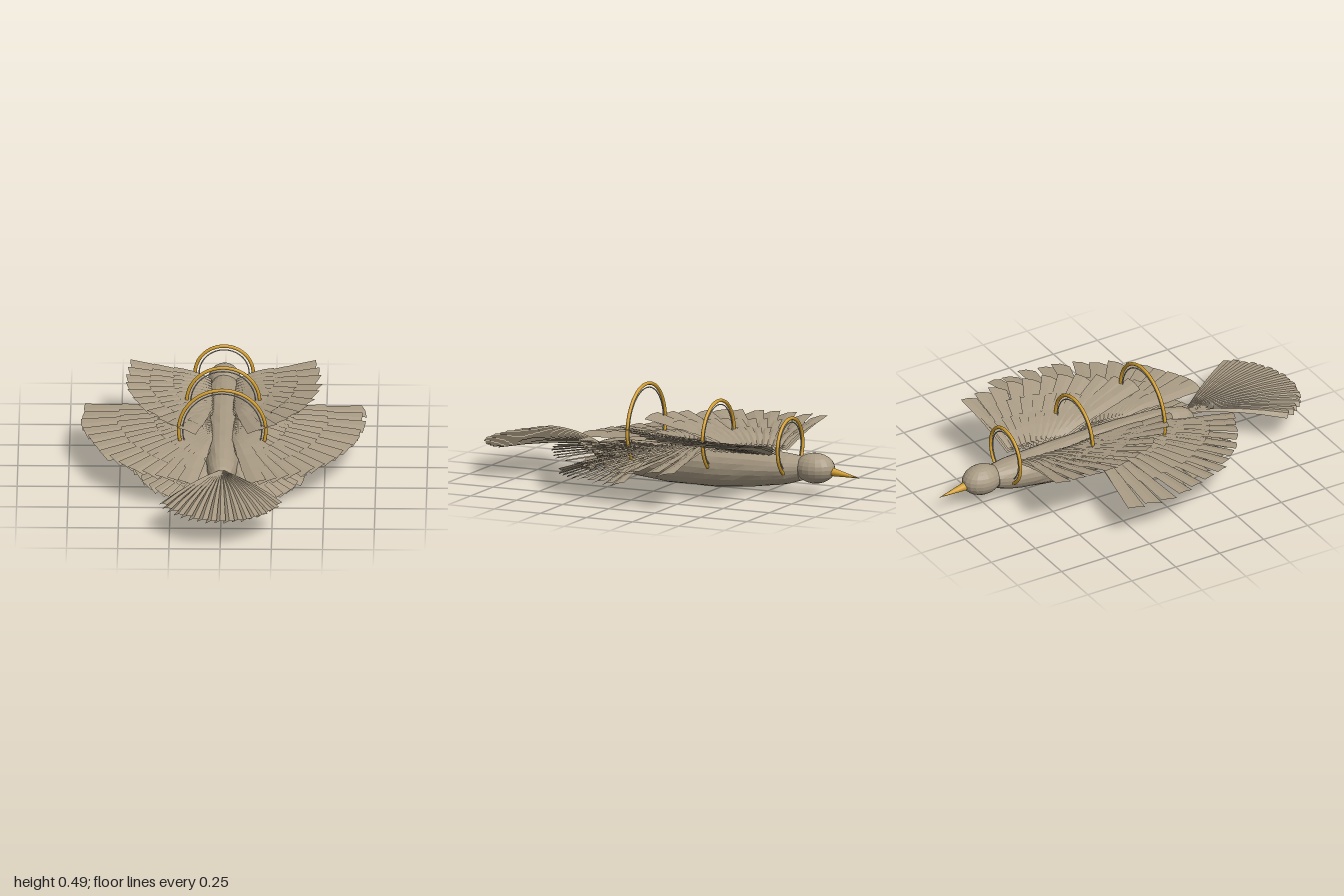
import * as THREE from 'three';
import { mergeGeometries } from 'three/addons/utils/BufferGeometryUtils.js';

const plumage = new THREE.MeshStandardMaterial({ color: 0xa99b84, flatShading: true, side: THREE.DoubleSide });
plumage.name = 'taupe plumage';
const gold = new THREE.MeshStandardMaterial({ color: 0xd4a030 });
gold.name = 'gold';
const silver = new THREE.MeshStandardMaterial({ color: 0xb2ada4 });
silver.name = 'grey metal';

const lerp = THREE.MathUtils.lerp;
const rad = THREE.MathUtils.degToRad;
let seed = 7;
const rand = () => (seed = (seed * 16807) % 2147483647) / 2147483647 - 0.5;

function add(parent, geometry, material, name) {
  const mesh = new THREE.Mesh(geometry, material);
  mesh.name = name;
  parent.add(mesh);
  return mesh;
}

function gridGeometry(pos, rows, cols) {
  const index = [];
  for (let i = 0; i < rows - 1; i++) for (let j = 0; j < cols - 1; j++) {
    const a = i * cols + j, b = a + cols;
    index.push(a, a + 1, b, a + 1, b + 1, b);
  }
  const g = new THREE.BufferGeometry();
  g.setAttribute('position', new THREE.Float32BufferAttribute(pos, 3));
  g.setIndex(index);
  g.computeVertexNormals();
  return g;
}

// Closed skin through elliptical sections [z, y, rx, ry], slightly uneven like packed plumage
function loft(sections, sides) {
  const pos = [];
  for (const [z, y, rx, ry] of sections) {
    const bumps = Array.from({ length: sides }, () => 1 + rand() * 0.04);
    for (let j = 0; j <= sides; j++) {
      const a = (j / sides) * Math.PI * 2, k = bumps[j % sides];
      pos.push(rx * k * Math.cos(a), y + ry * k * Math.sin(a), z);
    }
  }
  return gridGeometry(pos, sections.length, sides + 1);
}

// One blunt feather with a raised shaft; angle 0 points to +x, 90 to +z
function feather({ x, y, z, angle, length, width, base, rise, arch, tilt, ridge }) {
  const c = Math.cos(rad(angle)), s = Math.sin(rad(angle));
  const pos = [], skew = rand() * 0.014;
  for (const t of [0, 0.25, 0.5, 0.75, 1]) {
    const half = width * (base + (1 - base) * t);
    const lift = y + rise * t + arch * Math.sin(Math.PI * t);
    for (const k of [-1, 0, 1]) {
      const d = length * t + (t === 1 ? skew * k - (k ? 0.004 : 0) : 0);
      pos.push(x + c * d - s * half * k, lift + (k ? 0 : ridge) - k * tilt * (0.3 + 0.7 * t), z + s * d + c * half * k);
    }
  }
  return gridGeometry(pos, 5, 3);
}

// A wing: flight feathers overlaid by shorter rows of coverts
function buildWing(w) {
  const wing = new THREE.Group();
  const rows = [['flightFeathers', 1, 0], ['middleCoverts', 0.72, 0.01], ['smallCoverts', 0.45, 0.02]];
  rows.forEach(([name, scale, lift], r) => {
    const list = [], n = w.count + r;
    for (let i = 0; i < n; i++) {
      const t = i / (n - 1);
      const length = (lerp(w.len[0], w.len[1], t) + w.bulge * Math.sin(Math.PI * t)) * scale + rand() * 0.02;
      list.push(feather({
        x: w.x, z: lerp(w.z[0], w.z[1], t), y: w.y + lift - i * 0.001,
        angle: lerp(w.angle[0], w.angle[1], t) + rand() * 2,
        length, width: w.width * (0.5 + 0.5 * scale), base: 0.45,
        rise: w.rise * scale, arch: w.arch, tilt: 0.011, ridge: 0.006,
      }));
    }
    add(wing, mergeGeometries(list), plumage, name);
  });
  return wing;
}

export function createModel() {
  const model = new THREE.Group();
  model.name = 'threeWingPairBird';

  // Body
  add(model, loft([
    [-0.70, 0.130, 0.001, 0.001], [-0.69, 0.130, 0.064, 0.058], [-0.62, 0.124, 0.083, 0.074],
    [-0.56, 0.12, 0.088, 0.081], [-0.5, 0.117, 0.092, 0.088], [-0.42, 0.114, 0.095, 0.095],
    [-0.35, 0.111, 0.097, 0.1], [-0.27, 0.109, 0.099, 0.104], [-0.2, 0.108, 0.1, 0.106],
    [-0.12, 0.108, 0.1, 0.106], [-0.05, 0.108, 0.099, 0.106], [0.03, 0.11, 0.097, 0.105],
    [0.1, 0.112, 0.093, 0.102], [0.17, 0.115, 0.088, 0.097], [0.24, 0.118, 0.082, 0.09],
    [0.34, 0.124, 0.07, 0.07], [0.4, 0.127, 0.055, 0.05], [0.43, 0.13, 0.034, 0.03], [0.443, 0.13, 0.001, 0.001],
  ], 22), plumage, 'body');

  // Head and beak
  const head = add(model, new THREE.SphereGeometry(1, 18, 12), plumage, 'head');
  head.scale.set(0.08, 0.075, 0.103);
  head.position.set(0, 0.137, -0.756);
  const beak = add(model, new THREE.ConeGeometry(0.025, 0.18, 16), gold, 'beak');
  beak.position.set(0, 0.118, -0.911);
  beak.rotation.x = -Math.PI / 2 - 0.13;

  // Three wing pairs: raised front, level middle, drooping rear
  const wings = {
    frontWing: { x: 0.06, y: 0.195, z: [-0.555, -0.25], angle: [0, 77], len: [0.4, 0.48], bulge: 0.015,
      width: 0.046, rise: 0.1, arch: 0.012, count: 11 },
    middleWing: { x: 0.06, y: 0.195, z: [-0.19, 0.1], angle: [-8, 77], len: [0.63, 0.49], bulge: 0.04,
      width: 0.047, rise: -0.015, arch: 0.01, count: 14 },
    rearWing: { x: 0.055, y: 0.125, z: [0.1, 0.25], angle: [2, 72], len: [0.38, 0.32], bulge: 0.01,
      width: 0.036, rise: -0.07, arch: 0.008, count: 11 },
  };
  for (const [name, spec] of Object.entries(wings)) for (const side of [1, -1]) {
    const wing = buildWing(spec);
    wing.name = name + (side > 0 ? 'Left' : 'Right');
    wing.scale.x = side;
    model.add(wing);
  }

  // Pleated tail fan
  const tail = [];
  for (let i = 0; i < 17; i++) {
    const u = i / 8 - 1;
    tail.push(feather({
      x: 0, y: 0.155, z: 0.4, angle: 90 - u * 34,
      length: 0.6 - 0.09 * u * u + (i % 2) * 0.006 - 0.003, width: 0.027, base: 0.12,
      rise: -0.012 + 0.014 * u * u, arch: 0.018, tilt: 0.007, ridge: 0.009,
    }));
  }
  add(model, mergeGeometries(tail), plumage, 'tailFan');

  // Arched hoops growing towards the tail, each with a thin inner wire
  const hoops = [['front', -0.62, 0.23, 0.142, 62], ['middle', -0.23, 0.249, 0.178, 48], ['rear', 0.16, 0.266, 0.213, 42]];
  for (const [name, z, y, radius, drop] of hoops) {
    const hoop = new THREE.Group();
    hoop.name = name + 'Hoop';
    hoop.position.set(0, y, z);
    hoop.rotation.z = -rad(drop);
    const arc = Math.PI + 2 * rad(drop);
    add(hoop, new THREE.TorusGeometry(radius, 0.0085, 10, 48, arc), gold, 'hoopBand');
    add(hoop, new THREE.TorusGeometry(radius - 0.02, 0.003, 6, 48, arc), silver, 'hoopWire');
    model.add(hoop);
  }
  return model;
}
